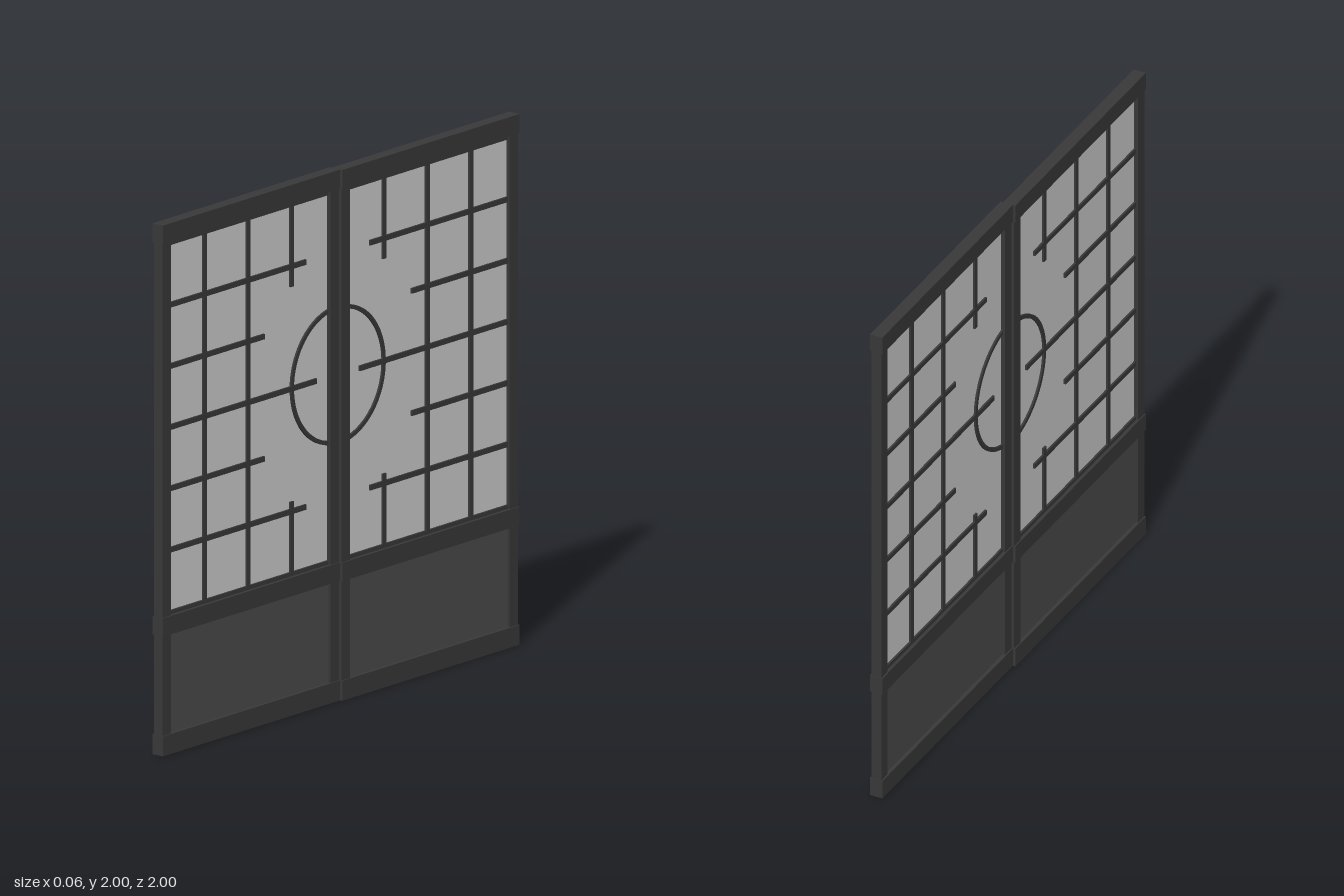
import * as THREE from 'three';

const frameMat = new THREE.MeshStandardMaterial({ color: 0x383838 });
const panelMat = new THREE.MeshStandardMaterial({ color: 0x4a4a4a });
const paperMat = new THREE.MeshStandardMaterial({ color: 0xcccccc });

// Box given by its z and y ranges and its thickness in x
function slab(name, z0, z1, y0, y1, thick, mat = frameMat) {
  const mesh = new THREE.Mesh(new THREE.BoxGeometry(thick, y1 - y0, z1 - z0), mat);
  mesh.position.set(0, (y0 + y1) / 2, (z0 + z1) / 2);
  mesh.name = name;
  return mesh;
}

// One sliding door leaf, spanning z = 0 (meeting edge) to z = 1
function createLeaf() {
  const leaf = new THREE.Group();
  const bar = 0.01, barThick = 0.024;
  const bottom = 0.535, top = 1.912;

  // Frame: two stiles and three slightly thicker rails
  leaf.add(slab('meetingStile', 0, 0.05, 0, 1.998, 0.04));
  leaf.add(slab('outerStile', 0.95, 0.998, 0, 1.998, 0.04));
  leaf.add(slab('bottomRail', 0, 1, 0, 0.075, 0.05));
  leaf.add(slab('middleRail', 0, 1, 0.45, 0.52, 0.05));
  leaf.add(slab('topRail', 0, 1, 1.928, 2, 0.05));

  // Infill: wooden lower panel and paper screen
  leaf.add(slab('lowerPanel', 0.04, 0.96, 0.06, 0.46, 0.02, panelMat));
  leaf.add(slab('paperScreen', 0.04, 0.96, 0.51, 1.94, 0.008, paperMat));

  // Lattice edge strips along the rails
  leaf.add(slab('lowerEdgeStrip', 0.04, 0.96, 0.51, bottom, barThick));
  leaf.add(slab('upperEdgeStrip', 0.04, 0.96, top, 1.935, barThick));

  // Upright bars: [z, y start, y end]
  for (const [z, y0, y1] of [
    [0.745, bottom, top], [0.5, bottom, top],
    [0.255, 1.61, top], [0.255, bottom, 0.8],
  ]) leaf.add(slab('uprightBar', z - bar, z + bar, y0, y1, barThick));

  // Cross bars: [y, inner end]
  for (const [y, z] of [
    [1.686, 0.175], [1.455, 0.41], [1.225, 0.115], [0.994, 0.41], [0.763, 0.175],
  ]) leaf.add(slab('crossBar', z, 0.955, y - bar, y + bar, barThick));

  // Half of the round ornament
  const arc = new THREE.Shape();
  arc.absarc(0, 0, 0.261, -Math.PI / 2, Math.PI / 2, false);
  arc.absarc(0, 0, 0.245, Math.PI / 2, -Math.PI / 2, true);
  const geo = new THREE.ExtrudeGeometry(arc, { depth: barThick, bevelEnabled: false, curveSegments: 32 });
  geo.translate(0, 0, -barThick / 2).rotateY(-Math.PI / 2);
  const ring = new THREE.Mesh(geo, frameMat);
  ring.position.y = 1.225;
  ring.name = 'halfRing';
  leaf.add(ring);
  return leaf;
}

export function createModel() {
  const model = new THREE.Group();
  model.name = 'slidingScreenDoors';
  // The two leaves run on neighbouring tracks
  const front = createLeaf();
  front.name = 'frontLeaf';
  front.position.x = -0.005;
  const back = createLeaf();
  back.name = 'backLeaf';
  back.rotation.y = Math.PI;
  back.position.x = 0.005;
  model.add(front, back);
  return model;
}
